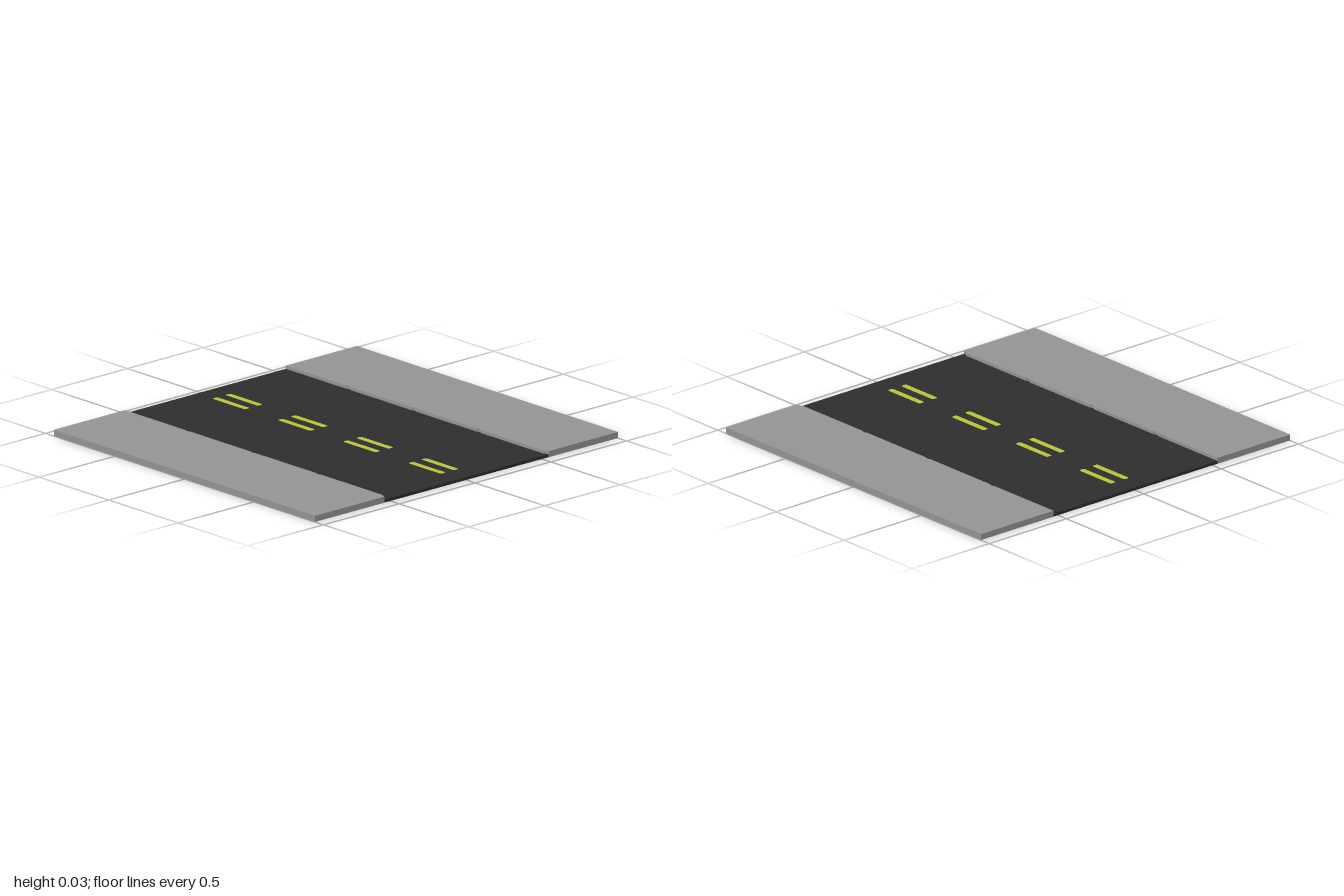
import * as THREE from 'three';

const HALF_LENGTH = 0.94;
const SEGMENT = HALF_LENGTH / 2;

// Extrudes a plan outline upward; the outline's y becomes -z.
function plate(shape, bottom, height, material, name) {
  const geometry = new THREE.ExtrudeGeometry(shape, { depth: height, bevelEnabled: false, curveSegments: 4 });
  geometry.rotateX(-Math.PI / 2);
  const mesh = new THREE.Mesh(geometry, material);
  mesh.position.y = bottom;
  mesh.name = name;
  return mesh;
}

// Pavement outline with small notches in the kerb at each segment joint
function pavementShape(side) {
  const inner = 0.53;
  const points = [[1, HALF_LENGTH], [1, -HALF_LENGTH], [inner + 0.012, -HALF_LENGTH], [inner, -HALF_LENGTH + 0.032]];
  for (let i = 1; i < 4; i++) {
    const joint = -HALF_LENGTH + i * SEGMENT;
    points.push([inner, joint + 0.004], [inner + 0.005, joint + 0.004], [inner + 0.005, joint + 0.03], [inner, joint + 0.03]);
  }
  points.push([inner, HALF_LENGTH]);
  return new THREE.Shape(points.map(([x, y]) => new THREE.Vector2(side * x, y)));
}

// Painted dash with rounded corners
function dashShape(width, length, r) {
  const w = width / 2, l = length / 2;
  const s = new THREE.Shape();
  s.absarc(w - r, l - r, r, 0, Math.PI / 2);
  s.absarc(-w + r, l - r, r, Math.PI / 2, Math.PI);
  s.absarc(-w + r, -l + r, r, Math.PI, Math.PI * 1.5);
  s.absarc(w - r, -l + r, r, Math.PI * 1.5, Math.PI * 2);
  s.closePath();
  return s;
}

export function createModel() {
  const model = new THREE.Group();
  model.name = 'roadSection';

  const asphalt = new THREE.MeshStandardMaterial({ color: 0x2e2e2e });
  asphalt.name = 'asphalt';
  const concrete = new THREE.MeshStandardMaterial({ color: 0x959595 });
  concrete.name = 'concrete';
  const paint = new THREE.MeshStandardMaterial({ color: 0xbcc437 });
  paint.name = 'yellowPaint';

  // Carriageway, tucked slightly under both kerbs
  const road = new THREE.Mesh(new THREE.BoxGeometry(1.084, 0.015, HALF_LENGTH * 2 - 0.002), asphalt);
  road.position.y = 0.0085;
  road.name = 'road';
  model.add(road);

  // Dark underside across the full width
  const underside = new THREE.Mesh(new THREE.PlaneGeometry(2, HALF_LENGTH * 2), asphalt);
  underside.rotation.x = Math.PI / 2;
  underside.name = 'underside';
  model.add(underside);

  // Raised pavements
  for (const side of [-1, 1]) {
    model.add(plate(pavementShape(side), 0.001, 0.031, concrete, side > 0 ? 'leftPavement' : 'rightPavement'));
  }

  // Double dashed centre line, one pair per segment
  const shape = dashShape(0.032, 0.235, 0.009);
  for (let i = 0; i < 4; i++) {
    for (const x of [-0.043, 0.043]) {
      const dash = plate(shape, 0.015, 0.002, paint, 'centreDash');
      dash.position.x = x;
      dash.position.z = -0.708 + i * SEGMENT;
      model.add(dash);
    }
  }
  return model;
}
